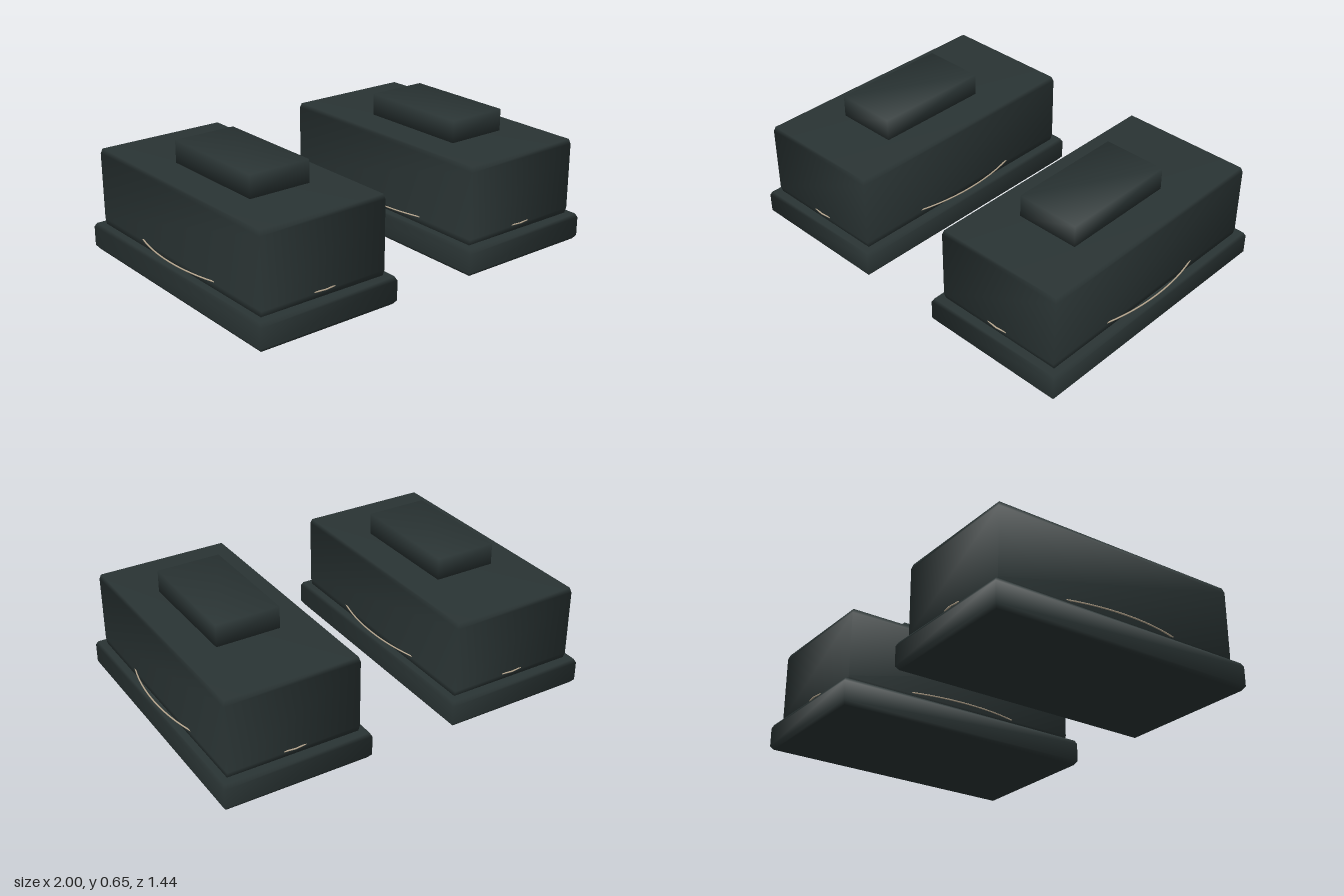
import * as THREE from 'three';

// Smooth-shaded block made of stacked rectangles: [y, half width, half depth]
function blockGeometry(levels, z = 0) {
  const pos = [], idx = [];
  for (const [y, w, d] of levels) {
    pos.push(-w, y, z + d, w, y, z + d, w, y, z - d, -w, y, z - d);
  }
  for (let l = 0; l < levels.length - 1; l++) {
    for (let i = 0; i < 4; i++) {
      const a = l * 4 + i, b = l * 4 + (i + 1) % 4;
      idx.push(a, b, b + 4, a, b + 4, a + 4);
    }
  }
  const t = (levels.length - 1) * 4;
  idx.push(0, 2, 1, 0, 3, 2, t, t + 1, t + 2, t, t + 2, t + 3);
  const g = new THREE.BufferGeometry();
  g.setAttribute('position', new THREE.Float32BufferAttribute(pos, 3));
  g.setIndex(idx);
  g.computeVertexNormals();
  return g;
}

// Thin oval welt that emerges from the sides of the upper
function weltGeometry() {
  const points = [];
  for (let i = 0; i < 32; i++) {
    const a = (i / 32) * Math.PI * 2;
    points.push(new THREE.Vector3(Math.cos(a) * 0.382, 0.175, Math.sin(a) * 0.682));
  }
  return new THREE.TubeGeometry(new THREE.CatmullRomCurve3(points, true), 64, 0.004, 6, true);
}

export function createModel() {
  const dark = new THREE.MeshStandardMaterial({ color: 0x2a3434 });
  dark.name = 'darkLeather';
  const tan = new THREE.MeshStandardMaterial({ color: 0xb8a890 });
  tan.name = 'tanStitching';

  const parts = [
    ['sole', blockGeometry([[0, 0.37, 0.705], [0.02, 0.385, 0.72], [0.12, 0.385, 0.72], [0.14, 0.375, 0.71]]), dark],
    ['upper', blockGeometry([[0.13, 0.34, 0.665], [0.17, 0.343, 0.677], [0.515, 0.345, 0.675], [0.54, 0.338, 0.667]]), dark],
    ['tongue', blockGeometry([[0.53, 0.165, 0.307], [0.655, 0.165, 0.307]], 0.045), dark],
    ['welt', weltGeometry(), tan],
  ];

  const model = new THREE.Group();
  model.name = 'pairOfShoes';
  for (const [name, x] of [['leftShoe', 0.615], ['rightShoe', -0.615]]) {
    const shoe = new THREE.Group();
    shoe.name = name;
    shoe.position.x = x;
    for (const [part, geometry, material] of parts) {
      const mesh = new THREE.Mesh(geometry, material);
      mesh.name = part;
      shoe.add(mesh);
    }
    model.add(shoe);
  }
  return model;
}
